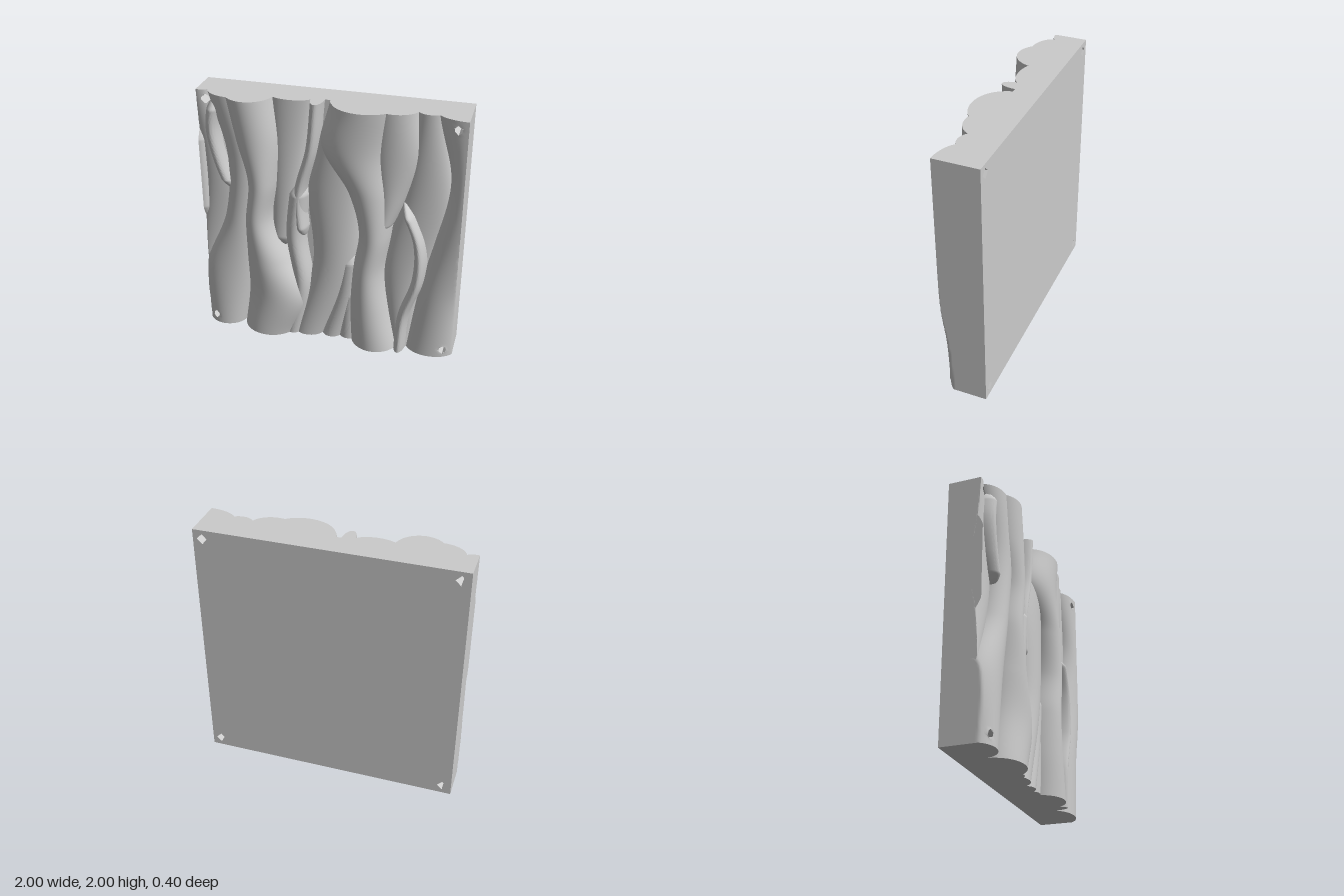
import * as THREE from 'three';
import { toCreasedNormals } from 'three/addons/utils/BufferGeometryUtils.js';

const ACROSS = 28, ALONG = 96, HOLE = 0.04;
const holes = [-0.93, 0.93].flatMap(x => [0.07, 1.93].map(y => [x, y]));

// Rows { y, c: centre, w: half width, h: height } of a ridge running from top to bottom.
// Centres (and widths, when they vary) are evenly spaced in y; free ends are rounded off.
function ridgeRows(top, bottom, height, centres, widths) {
  const last = centres.length - 1;
  const curve = new THREE.CatmullRomCurve3(centres.map((c, i) =>
    new THREE.Vector3(c, THREE.MathUtils.lerp(top, bottom, i / last), widths[i] ?? widths[0])));
  const round = d => Math.sqrt(THREE.MathUtils.clamp(d / 0.1, 0, 1));
  return Array.from({ length: ALONG + 1 }, (_, i) => {
    const p = curve.getPoint(i / ALONG);
    const k = (top < 2 ? round(top - p.y) : 1) * (bottom > 0 ? round(p.y - bottom) : 1);
    return { y: p.y, c: p.x, w: p.z * k, h: height * k };
  });
}

// Moves points lying inside a mounting hole out to its rim
function pushFromHoles(p) {
  for (const [hx, hy] of holes) {
    const dx = p.x - hx, dy = p.y - hy, d = Math.abs(dx) + Math.abs(dy);
    if (d < HOLE - 1e-6) {
      const k = HOLE / Math.max(d, 1e-5);
      p.x = hx + dx * k;
      p.y = hy + dy * k;
      p.inside = true;
    }
  }
  return p;
}

// Arched ridge swept along its rows, trimmed flat at the panel's sides and ends
function ridgeGeometry(rows) {
  const grid = rows.map(({ y, c, w, h }) => Array.from({ length: ACROSS + 1 }, (_, j) => {
    const a = Math.PI * j / ACROSS;
    return pushFromHoles({ x: THREE.MathUtils.clamp(c - w * Math.cos(a), -1, 1), y, z: h * Math.sin(a) });
  }));
  const flat = row => row.map(p => ({ ...p, z: 0 }));
  grid.unshift(flat(grid[0]));
  grid.push(flat(grid[grid.length - 1]));
  const pos = [];
  const tri = (...t) => {
    if (!t.every(p => p.inside)) t.forEach(p => pos.push(p.x, p.y, p.z));
  };
  for (let i = 0; i < grid.length - 1; i++) for (let j = 0; j < ACROSS; j++) {
    const a = grid[i][j], b = grid[i][j + 1], c = grid[i + 1][j], d = grid[i + 1][j + 1];
    tri(a, c, d);
    tri(a, d, b);
  }
  const g = new THREE.BufferGeometry();
  g.setAttribute('position', new THREE.Float32BufferAttribute(pos, 3));
  return toCreasedNormals(g, 0.9);
}

// Height of the relief at a point
function reliefHeight(allRows, x, y) {
  let z = 0;
  for (const rows of allRows) {
    const row = rows.reduce((a, b) => Math.abs(b.y - y) < Math.abs(a.y - y) ? b : a);
    const u = (x - row.c) / row.w;
    if (Math.abs(row.y - y) < 0.03 && Math.abs(u) < 1) z = Math.max(z, row.h * Math.sqrt(1 - u * u));
  }
  return z;
}

const diamond = (x, y) => [[x + HOLE, y], [x, y + HOLE], [x - HOLE, y], [x, y - HOLE]];

// Hole lining that rises from the slab to the relief
function liningGeometry(allRows, hx, hy) {
  const pos = [], corners = diamond(hx, hy), N = 6;
  corners.forEach((p, k) => {
    const q = corners[(k + 1) % 4];
    const at = t => {
      const x = p[0] + (q[0] - p[0]) * t, y = p[1] + (q[1] - p[1]) * t;
      return [x, y, reliefHeight(allRows, x, y)];
    };
    for (let i = 0; i < N; i++) {
      const a = at(i / N), b = at((i + 1) / N), a0 = [a[0], a[1], 0], b0 = [b[0], b[1], 0];
      pos.push(...a0, ...a, ...b, ...a0, ...b, ...b0);
    }
  });
  const g = new THREE.BufferGeometry();
  g.setAttribute('position', new THREE.Float32BufferAttribute(pos, 3));
  g.computeVertexNormals();
  return g;
}

export function createModel() {
  const group = new THREE.Group();
  const material = new THREE.MeshStandardMaterial({ color: 0xcccccc });
  const thin = new THREE.MeshStandardMaterial({ color: 0xcccccc, side: THREE.DoubleSide });
  const add = (name, geometry, mat) => {
    const mesh = new THREE.Mesh(geometry, mat);
    mesh.name = name;
    group.add(mesh);
  };
  const allRows = [];
  const ridge = (name, ...spec) => {
    const rows = ridgeRows(...spec);
    allRows.push(rows);
    add(name, ridgeGeometry(rows), thin);
  };

  // Backing slab with four diamond mounting holes
  const toPoints = list => list.map(p => new THREE.Vector2(...p));
  const shape = new THREE.Shape(toPoints([[-1, 0], [1, 0], [1, 2], [-1, 2]]));
  for (const [x, y] of holes) shape.holes.push(new THREE.Path(toPoints(diamond(x, y))));
  add('backingSlab', new THREE.ExtrudeGeometry(shape, { depth: 0.2, bevelEnabled: false }).translate(0, 0, -0.2), material);

  // Two dominant roots
  ridge('broadLeftRoot', 2, 0, 0.2, [-0.6, -0.545, -0.51, -0.545, -0.485, -0.41, -0.49], [0.19, 0.175, 0.12, 0.115, 0.18, 0.255, 0.22]);
  ridge('broadRightRoot', 2, 0, 0.2, [0.255, 0.2, 0.315, 0.355, 0.315, 0.33, 0.375], [0.245, 0.265, 0.175, 0.125, 0.125, 0.16, 0.195]);

  // Roots beside and behind them
  ridge('upperRightRoot', 2, 1, 0.145, [0.475, 0.48, 0.46, 0.41], [0.175, 0.2, 0.13, 0.05]);
  ridge('farLeftRoot', 2, 0, 0.14, [-0.735, -0.645, -0.7, -0.83, -0.865], [0.185, 0.145, 0.13, 0.2, 0.155]);
  ridge('farRightRoot', 2, 0, 0.14, [1, 1, 0.995, 0.875, 0.82], [0.24, 0.11, 0.19, 0.175, 0.2]);
  ridge('centreRoot', 2, 0, 0.115, [0.125, 0.045, 0.03, -0.17], [0.125, 0.21, 0.165, 0.13]);
  ridge('innerRightRoot', 2, 0, 0.085, [0.725, 0.72, 0.58, 0.575], [0.105, 0.18, 0.16, 0.075]);
  ridge('leftEdgeRoot', 2, 0.5, 0.05, [-0.98, -0.86, -1.02], [0.08, 0.13, 0.08]);
  ridge('innerLeftRoot', 2, 0.75, 0.075, [-0.29, -0.34, -0.39], [0.16, 0.12, 0.09]);
  ridge('lowerLeftRoot', 1.35, 0, 0.12, [-0.22, -0.265, -0.215, -0.29], [0.08]);
  ridge('lowerCentreRoot', 0.8, 0, 0.09, [0.175, 0.13, 0.02], [0.085]);
  ridge('lowerInnerRoot', 0.5, 0, 0.08, [0.18, 0.155], [0.08]);
  ridge('leftRimRoot', 1.7, 0.93, 0.07, [-1.01, -1.01], [0.055]);

  // Thin tendrils lying on top
  ridge('leftTendril', 1.97, 1.21, 0.12, [-0.85, -0.885, -0.84, -0.75], [0.06]);
  ridge('centreTendril', 2, 0.87, 0.12, [-0.09, -0.13, -0.225, -0.205], [0.05]);
  ridge('rightTendril', 1.3, 0, 0.16, [0.57, 0.695, 0.7, 0.605, 0.58], [0.05]);

  // Hole linings
  holes.forEach(([x, y]) => add('holeLining', liningGeometry(allRows, x, y), thin));
  return group;
}
